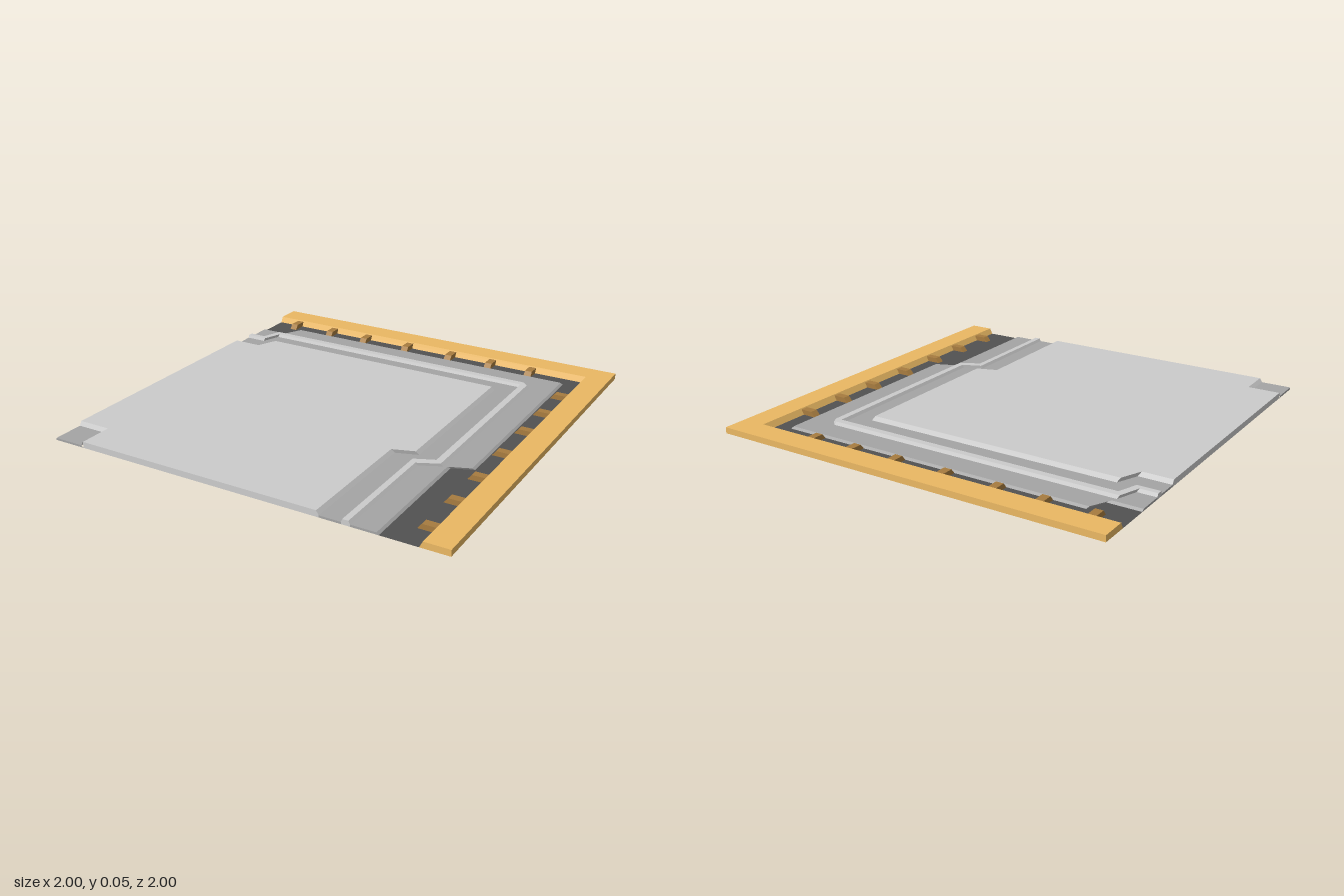
import * as THREE from 'three';

const BASE = 0.02, STEP = 0.03, RIDGE = 0.045, TOP = 0.05;

const material = (color) =>
  new THREE.MeshStandardMaterial({ color, side: THREE.DoubleSide, flatShading: true });
const plateMat = material(0xcccccc);
const stepMat = material(0xa4a4a4);
const floorMat = material(0x525252);
const frameMat = material(0xeab863);
const pegMat = material(0xa77c3f);

function addMesh(parent, name, geometry, mat) {
  const mesh = new THREE.Mesh(geometry, mat);
  mesh.name = name;
  parent.add(mesh);
  return mesh;
}

// Geometry from a list of quads, each with four corners in counter-clockwise order
function quads(list) {
  const pos = [];
  for (const [a, b, c, d] of list) pos.push(...a, ...b, ...c, ...a, ...c, ...d);
  const g = new THREE.BufferGeometry();
  g.setAttribute('position', new THREE.Float32BufferAttribute(pos, 3));
  g.computeVertexNormals();
  return g;
}

// Skin between outlines, each { path: [[x, z]...], y }, with both cut ends closed down to the base
function loft(rows) {
  const list = [];
  for (let r = 0; r < rows.length - 1; r++) {
    const at = (row, i, y = row.y) => [row.path[i][0], y, row.path[i][1]];
    const a = rows[r], b = rows[r + 1], n = a.path.length - 1;
    for (let i = 0; i < n; i++) list.push([at(a, i), at(a, i + 1), at(b, i + 1), at(b, i)]);
    list.push([at(a, 0), at(b, 0), at(b, 0, BASE), at(a, 0, BASE)]);
    list.push([at(b, n), at(a, n), at(a, n, BASE), at(b, n, BASE)]);
  }
  return quads(list);
}

// Flat face from an outline in x and z
function flat(points, y) {
  const shape = new THREE.Shape(points.map(([x, z]) => new THREE.Vector2(x, -z)));
  return new THREE.ShapeGeometry(shape).rotateX(-Math.PI / 2).translate(0, y, 0);
}

// Jogged outline from the front edge, round the back corner, to the side edge; inset by d
function outline([xf, z1, xb, z2, chamfer, zb, x1, x2, zs], d = 0) {
  const pts = [
    [xf, 1], [xf, z1], [xb, z2], [xb, zb + chamfer], [xb - chamfer, zb],
    [x1, zb], [x2, zs], [-1, zs],
  ];
  return pts.map(([x, z], i) => [i === 7 ? -1 : x - d, i === 0 ? 1 : z + d]);
}

export function createModel() {
  const model = new THREE.Group();
  model.name = 'cornerTile';

  const stepEdge = [0.69, 0.35, 0.79, 0.312, 0.004, -0.795, -0.8, -0.84, -0.7];
  const ridgeOuter = [0.562, 0.415, 0.662, 0.368, 0.03, -0.668, -0.87, -0.907, -0.567];
  const ridgeInner = [0.526, 0.393, 0.622, 0.352, 0.004, -0.628, -0.855, -0.89, -0.533];
  const plateEdge = [0.417, 0.355, 0.522, 0.32, 0.003, -0.528, -0.795, -0.84, -0.425];

  // Lower terrace on both sides of the ridge
  addMesh(model, 'outerTerrace', loft([
    { path: outline(stepEdge), y: BASE },
    { path: outline(stepEdge, 0.01), y: STEP },
    { path: outline(ridgeOuter), y: STEP },
  ]), stepMat);
  addMesh(model, 'innerTerrace', loft([
    { path: outline(ridgeInner, 0.006), y: STEP },
    { path: outline(plateEdge), y: STEP },
  ]), stepMat);

  // Narrow raised ridge
  addMesh(model, 'ridge', loft([
    { path: outline(ridgeOuter), y: STEP },
    { path: outline(ridgeOuter, 0.008), y: RIDGE },
    { path: outline(ridgeInner), y: RIDGE },
    { path: outline(ridgeInner, 0.006), y: STEP },
  ]), plateMat);

  // Main plate: sloped border, top with a corner notch, straight outer walls
  const rim = outline(plateEdge, 0.012);
  const n = 0.835, m = 0.847;
  addMesh(model, 'plateBorder', loft([
    { path: outline(plateEdge), y: STEP },
    { path: rim, y: TOP },
  ]), plateMat);
  addMesh(model, 'plateTop', flat([...rim, [-1, n], [-n, n], [-n, 1]], TOP), plateMat);
  const [rimFront, rimSide] = [rim[0][0], rim[7][1]];
  addMesh(model, 'plateWalls', quads([
    [[-n, BASE, 1], [rimFront, BASE, 1], [rimFront, TOP, 1], [-n, TOP, 1]],
    [[-1, BASE, rimSide], [-1, BASE, n], [-1, TOP, n], [-1, TOP, rimSide]],
  ]), plateMat);

  // Notch in the front corner
  addMesh(model, 'notchSlopes', quads([
    [[-1, STEP, m], [-m, STEP, m], [-n, TOP, n], [-1, TOP, n]],
    [[-m, STEP, m], [-m, STEP, 1], [-n, TOP, 1], [-n, TOP, n]],
  ]), plateMat);
  addMesh(model, 'notchFloor', flat([[-1, m], [-1, 1], [-m, 1], [-m, m]], STEP), stepMat);
  addMesh(model, 'notchWalls', quads([
    [[-1, BASE, 1], [-n, BASE, 1], [-m, STEP, 1], [-1, STEP, 1]],
    [[-1, BASE, n], [-1, BASE, 1], [-1, STEP, 1], [-1, STEP, m]],
  ]), stepMat);

  // Dark gutter between terrace and frame
  const inner = 0.865;
  addMesh(model, 'gutterFloor',
    flat([...outline(stepEdge), [-1, -inner], [inner, -inner], [inner, 1]], BASE), floorMat);

  // Hollow L-shaped frame
  const corner = (s) => [[s, 1], [s, -s], [-1, -s]];
  addMesh(model, 'frame', loft([
    { path: corner(1), y: BASE },
    { path: corner(1), y: TOP },
    { path: corner(0.88), y: TOP },
    { path: corner(inner), y: BASE },
  ]), frameMat);

  // Slanted pegs gripping the inside of the frame
  const profile = [
    [0.785, 0], [0.91, 0], [0.912, 0.018], [0.868, 0.02], [0.88, 0.045], [0.815, 0.045], [0.795, 0.02],
  ];
  const pegGeo = new THREE.ExtrudeGeometry(
    new THREE.Shape(profile.map(([x, y]) => new THREE.Vector2(x, y))),
    { depth: 0.038, bevelEnabled: false }).translate(0, 0, -0.019);
  const pegRow = (name, places, turn) => {
    const row = new THREE.Group();
    row.name = name;
    for (const p of places) addMesh(row, 'peg', pegGeo, pegMat).position.z = p;
    row.rotation.y = turn;
    model.add(row);
  };
  pegRow('sidePegs', [-0.61, -0.375, -0.14, 0.123, 0.385, 0.62, 0.857], 0);
  pegRow('backPegs', [-0.87, -0.63, -0.405, -0.14, 0.125, 0.362, 0.59], Math.PI / 2);

  return model;
}
